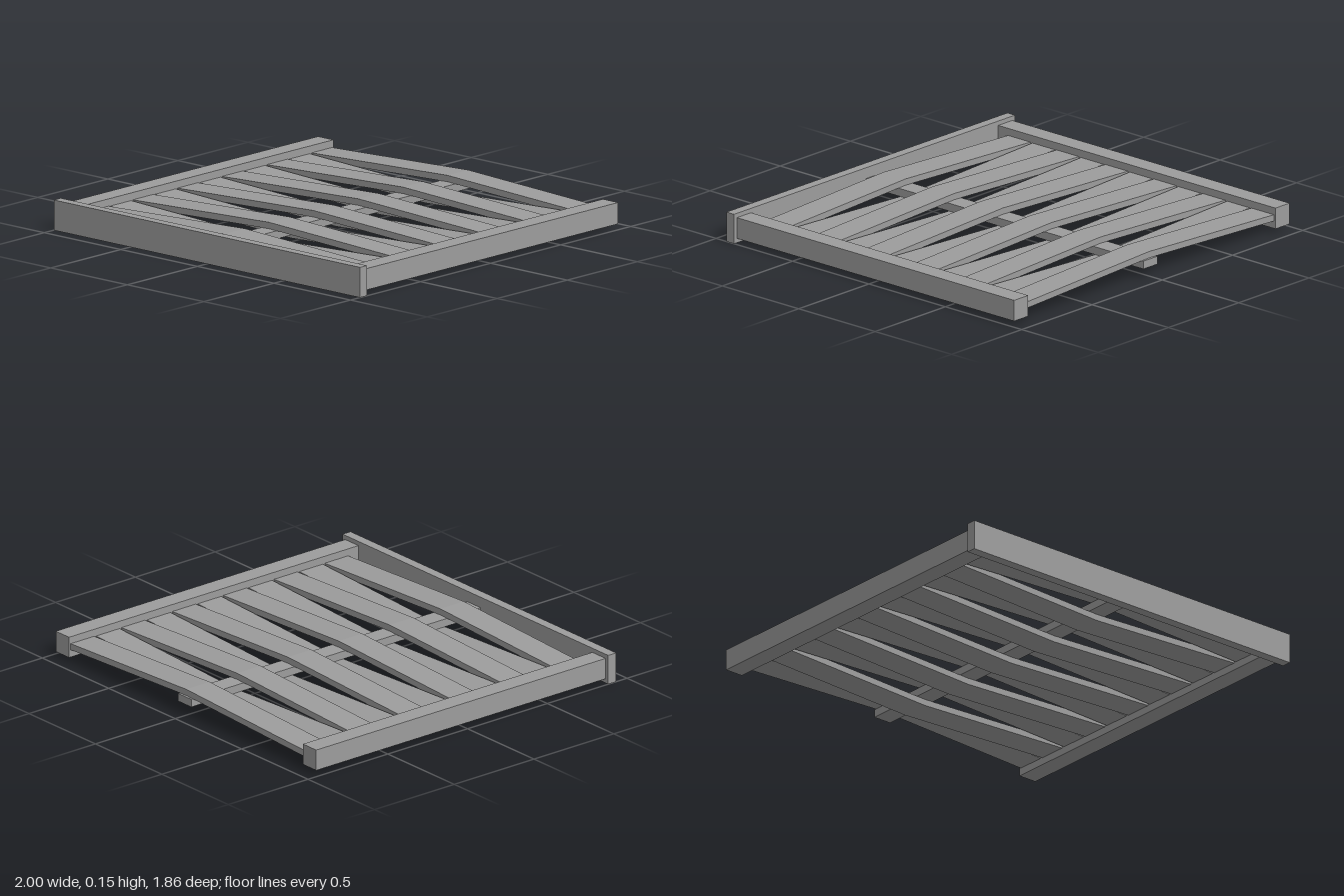
import * as THREE from 'three';

export function createModel() {
  const group = new THREE.Group();
  const wood = new THREE.MeshStandardMaterial({ color: 0x9c9c9c });
  wood.name = 'greyWood';

  const add = (name, geometry) => {
    const mesh = new THREE.Mesh(geometry, wood);
    mesh.name = name;
    group.add(mesh);
    return mesh;
  };
  // Box given by its extents on each axis
  const box = (name, [x0, x1], [y0, y1], [z0, z1]) => {
    const mesh = add(name, new THREE.BoxGeometry(x1 - x0, y1 - y0, z1 - z0));
    mesh.position.set((x0 + x1) / 2, (y0 + y1) / 2, (z0 + z1) / 2);
  };

  // Frame: cap board, two side rails and the thin centre rail
  box('capBoard', [-1, 1], [0, 0.15], [0.882, 0.932]);
  box('leftRail', [0.88, 0.98], [0.022, 0.128], [-0.932, 0.882]);
  box('rightRail', [-0.98, -0.88], [0.022, 0.128], [-0.932, 0.882]);
  box('centreRail', [-0.04, 0.06], [0.055, 0.095], [-0.932, 0.882]);

  // Woven slats, bent alternately over and under the centre rail
  const half = 0.016, mid = 0.075, bend = 0.038, width = 0.147;
  for (let i = 0; i < 11; i++) {
    const peak = mid + (i % 2 === 0 ? bend : -bend);
    const profile = new THREE.Shape([
      new THREE.Vector2(-0.9, mid - half),
      new THREE.Vector2(0.01, peak - half),
      new THREE.Vector2(0.9, mid - half),
      new THREE.Vector2(0.9, mid + half),
      new THREE.Vector2(0.01, peak + half),
      new THREE.Vector2(-0.9, mid + half),
    ]);
    const slat = add('slat' + (i + 1),
      new THREE.ExtrudeGeometry(profile, { depth: width, bevelEnabled: false }));
    slat.position.z = -0.922 + i * 0.1593;
  }
  return group;
}
